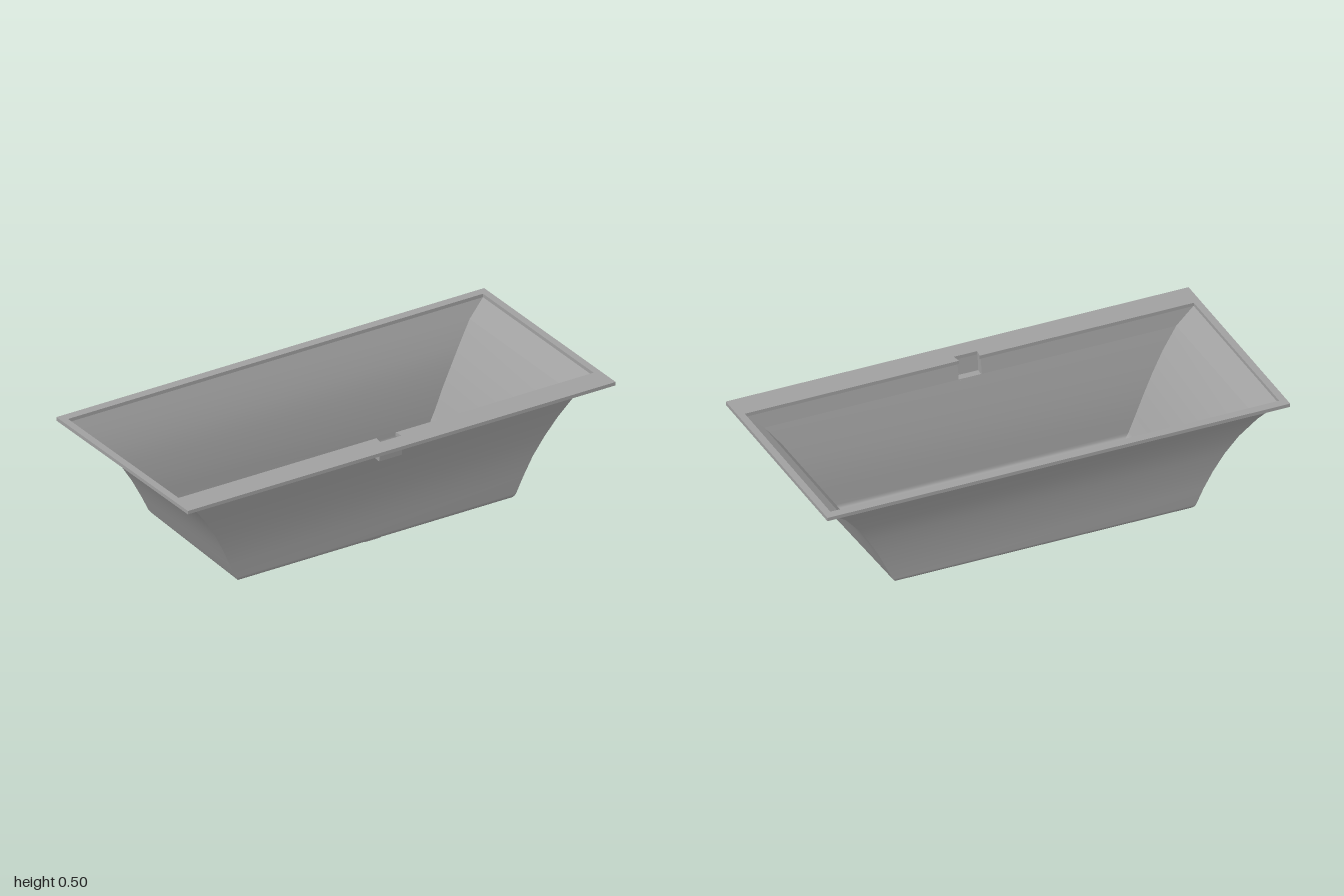
import * as THREE from 'three';

const TOP = 0.49, RIM = 0.505;

// Basin sections from floor to rim: [y, half length, front z, back z]
const LEVELS = [
  [0.012, 0.632, 0.275, -0.323], [0.014, 0.642, 0.282, -0.332],
  [0.02, 0.648, 0.286, -0.337], [0.03, 0.655, 0.288, -0.34],
  [0.1, 0.687, 0.292, -0.341], [0.18, 0.725, 0.3, -0.349],
  [0.26, 0.77, 0.314, -0.36], [0.34, 0.822, 0.331, -0.378],
  [0.425, 0.89, 0.351, -0.408], [TOP, 0.97, 0.362, -0.435],
];
const LOWER = LEVELS.slice(0, 9), UPPER = LEVELS.slice(8);

// The floor falls toward the front; the slope fades out at the rim
const backY = (y) => y + 0.025 * (TOP - y) / (TOP - 0.012);

// Smooth sheet through rows of points
function sheet(rows) {
  const n = rows[0].length, index = [];
  for (let r = 0; r < rows.length - 1; r++) {
    for (let c = 0; c < n - 1; c++) {
      const a = r * n + c, b = a + 1, d = a + n, e = d + 1;
      index.push(a, b, e, a, e, d);
    }
  }
  const g = new THREE.BufferGeometry();
  g.setAttribute('position', new THREE.Float32BufferAttribute(rows.flat(2), 3));
  g.setIndex(index);
  g.computeVertexNormals();
  return g;
}

export function createModel() {
  const model = new THREE.Group();
  model.name = 'bathtub';
  const enamel = new THREE.MeshStandardMaterial({ color: 0xa0a0a0, side: THREE.DoubleSide });
  enamel.name = 'grey enamel';
  const add = (name, geometry) => {
    const mesh = new THREE.Mesh(geometry, enamel);
    mesh.name = name;
    model.add(mesh);
    return mesh;
  };

  // Long walls; the front one is open at the overflow
  add('frontWall', sheet(LOWER.map(([y, w, f]) => [[-w, y, f], [w, y, f]])));
  add('backWall', sheet(LEVELS.map(([y, w, , b]) => [[w, backY(y), b], [-w, backY(y), b]])));
  const notch = 0.05;
  add('frontWallTopRight', sheet(UPPER.map(([y, w, f]) => [[-w, y, f], [-notch, y, f]])));
  add('frontWallTopLeft', sheet(UPPER.map(([y, w, f]) => [[notch, y, f], [w, y, f]])));

  // End walls with a crease below the rim
  for (const s of [1, -1]) {
    const side = s > 0 ? 'left' : 'right';
    const rows = (levels) => levels.map(([y, w, f, b]) => {
      const ends = [[s * w, y, f], [s * w, backY(y), b]];
      return s > 0 ? ends : ends.reverse();
    });
    add(side + 'EndWall', sheet(rows(LOWER)));
    add(side + 'EndFlare', sheet(rows(UPPER)));
  }

  // Sloping floor
  const [y0, w0, f0, b0] = LEVELS[0];
  add('floor', sheet([
    [[-w0, backY(y0), b0], [w0, backY(y0), b0]],
    [[-w0, y0, f0], [w0, y0, f0]],
  ]));

  // Flat rim with the basin opening and overflow notch cut out
  const shape = new THREE.Shape([[-1, -0.473], [1, -0.473], [1, 0.473], [-1, 0.473]]
    .map(([x, z]) => new THREE.Vector2(x, -z)));
  shape.holes.push(new THREE.Path([
    [-0.97, -0.435], [0.97, -0.435], [0.97, 0.36], [0.045, 0.36],
    [0.05, 0.395], [-0.05, 0.395], [-0.045, 0.36], [-0.97, 0.36],
  ].map(([x, z]) => new THREE.Vector2(x, -z))));
  const rim = new THREE.ExtrudeGeometry(shape, { depth: RIM - TOP, bevelEnabled: false });
  rim.rotateX(-Math.PI / 2).translate(0, TOP, 0);
  add('rim', rim);

  // Overflow pocket: three separate flat sides and a floor
  const low = 0.418;
  const top = [[-0.05, TOP, 0.362], [-0.054, TOP, 0.4], [0.054, TOP, 0.4], [0.05, TOP, 0.362]];
  const base = [[-0.05, low, 0.349], [-0.053, low, 0.392], [0.053, low, 0.392], [0.05, low, 0.349]];
  ['Right', 'Front', 'Left'].forEach((name, i) =>
    add('overflow' + name, sheet([[base[i], base[i + 1]], [top[i], top[i + 1]]])));
  add('overflowFloor', sheet([[base[0], base[3]], [base[1], base[2]]]));

  // Drain collar below the floor: rounded square with a round bore
  const r = 0.042, c = 0.012;
  const collar = new THREE.Shape();
  [[1, 1, 0], [-1, 1, 1], [-1, -1, 2], [1, -1, 3]].forEach(([sx, sy, q]) =>
    collar.absarc(sx * (r - c), sy * (r - c), c, q * Math.PI / 2, (q + 1) * Math.PI / 2, false));
  collar.holes.push(new THREE.Path().absarc(0, 0, 0.024, 0, Math.PI * 2, true));
  const drain = new THREE.ExtrudeGeometry(collar, { depth: 0.0125, bevelEnabled: false, curveSegments: 8 });
  drain.rotateX(-Math.PI / 2).translate(0, 0, 0.222);
  add('drainCollar', drain);

  return model;
}
